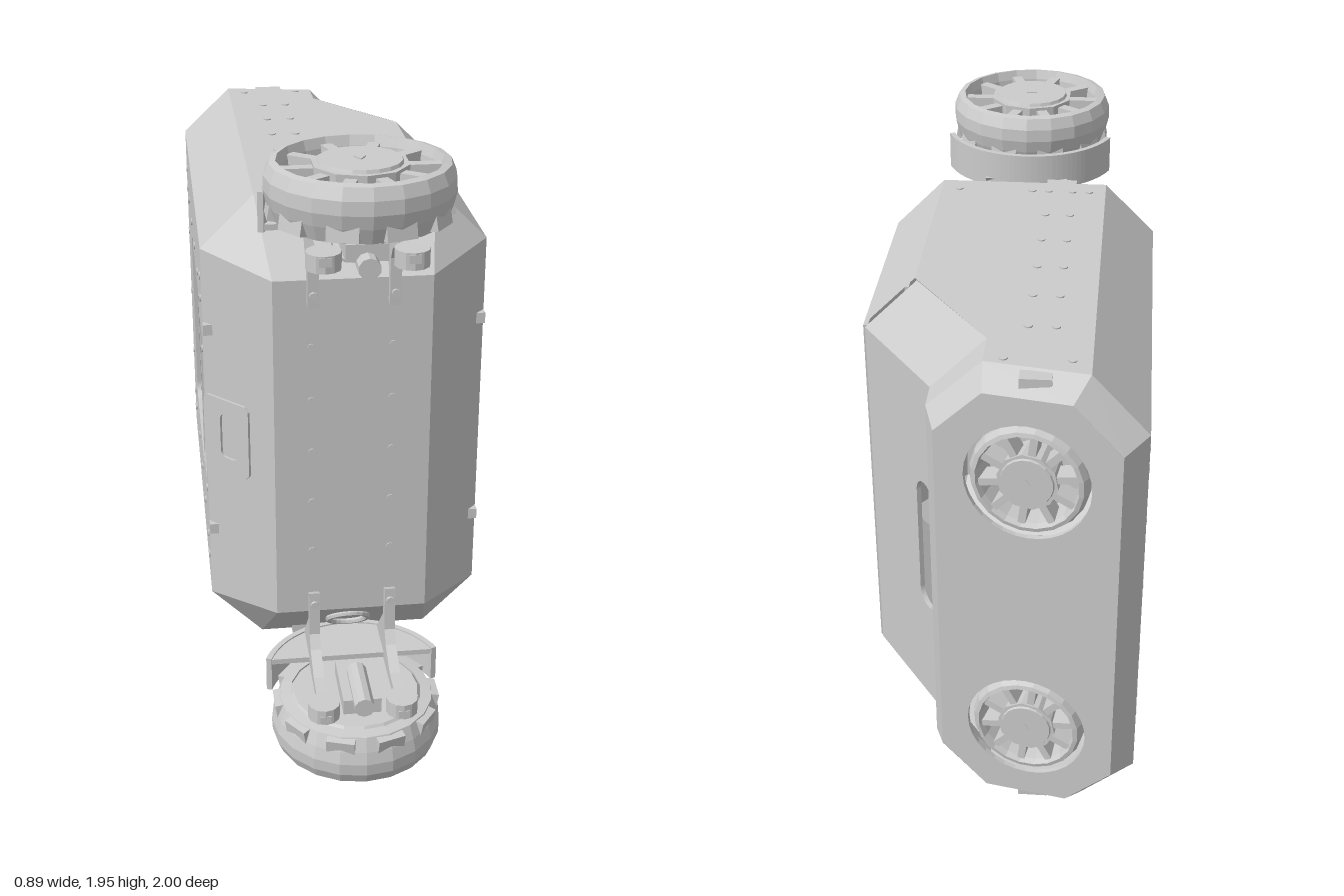
import * as THREE from 'three';

const V = (x, y, z) => new THREE.Vector3(x, y, z);
const UP = V(0, 1, 0);
const MID = 0.97; // mid height of the body
const flat = new THREE.MeshStandardMaterial({ color: 0xcccccc, flatShading: true, side: THREE.DoubleSide });
const smooth = new THREE.MeshStandardMaterial({ color: 0xcccccc });

function add(parent, name, geo, pos = [0, 0, 0], mat = flat) {
  const m = new THREE.Mesh(geo, mat);
  m.name = name;
  m.position.set(...pos);
  parent.add(m);
  return m;
}

// Octagonal cross-section of the body; depth runs from zl to zr across x
function ring(xl, xr, y0, y1, c, zl, zr = zl) {
  return [[xl + c, y0], [xr - c, y0], [xr, y0 + c], [xr, y1 - c], [xr - c, y1], [xl + c, y1], [xl, y1 - c], [xl, y0 + c]]
    .map(([x, y]) => V(x, y, zl + (zr - zl) * (x - xl) / (xr - xl)));
}

// Rounded rectangle hole
function rect(x0, x1, y0, y1, r = 0.006) {
  const p = new THREE.Path();
  p.moveTo(x0 + r, y0);
  p.lineTo(x1 - r, y0); p.absarc(x1 - r, y0 + r, r, -Math.PI / 2, 0);
  p.lineTo(x1, y1 - r); p.absarc(x1 - r, y1 - r, r, 0, Math.PI / 2);
  p.lineTo(x0 + r, y1); p.absarc(x0 + r, y1 - r, r, Math.PI / 2, Math.PI);
  p.lineTo(x0, y0 + r); p.absarc(x0 + r, y0 + r, r, Math.PI, Math.PI * 1.5);
  return p;
}
const circle = (x, y, r) => new THREE.Path().absarc(x, y, r, 0, Math.PI * 2);

// Upright plate from a to b ([x, z], left to right seen from outside), with chamfer c and holes
function panel(parent, name, a, b, y0, y1, holes, c = 0, lift = 0) {
  const u = V(b[0] - a[0], 0, b[1] - a[1]), w = u.length();
  u.normalize();
  const n = u.clone().cross(UP), t = 0.015;
  const pts = c ? [[c, y0], [w - c, y0], [w, y0 + c], [w, y1 - c], [w - c, y1], [c, y1], [0, y1 - c], [0, y0 + c]]
    : [[0, y0], [w, y0], [w, y1], [0, y1]];
  const s = new THREE.Shape(pts.map(p => new THREE.Vector2(...p)));
  s.holes.push(...holes);
  const g = new THREE.ExtrudeGeometry(s, { depth: t, bevelEnabled: false, curveSegments: 16 });
  g.translate(0, 0, lift - t);
  g.applyMatrix4(new THREE.Matrix4().makeBasis(u, UP, n).setPosition(a[0], 0, a[1]));
  return add(parent, name, g);
}

// Extrusion of a plan shape standing on y
function slab(shape, y0, h) {
  return new THREE.ExtrudeGeometry(shape, { depth: h, bevelEnabled: false, curveSegments: 20 })
    .rotateX(-Math.PI / 2).translate(0, y0, 0);
}

// Faceted wheel, axis on y, outer face up
function wheel() {
  const g = new THREE.Group();
  g.name = 'wheel';
  const tyre = [[0.21, 0.05], [0.245, 0.055], [0.262, 0.1], [0.272, 0.14], [0.27, 0.18], [0.255, 0.215],
    [0.235, 0.22], [0.225, 0.19], [0.21, 0.05]].map(p => new THREE.Vector2(...p));
  add(g, 'tyre', new THREE.LatheGeometry(tyre, 20));
  add(g, 'hub', new THREE.CylinderGeometry(0.14, 0.13, 0.16, 10), [0, 0.13, 0]);
  add(g, 'hubCap', new THREE.CylinderGeometry(0.118, 0.122, 0.01, 20), [0, 0.215, 0]);
  add(g, 'hubMark', new THREE.CylinderGeometry(0.02, 0.02, 0.004, 3), [0, 0.222, 0]);
  add(g, 'wheelBack', new THREE.CylinderGeometry(0.215, 0.2, 0.02, 20), [0, 0.055, 0]);
  for (let i = 0; i < 10; i++) {
    const a = i * Math.PI / 5;
    const s = add(g, 'spoke', new THREE.BoxGeometry(0.11, 0.1, 0.035), [Math.cos(a) * 0.18, 0.15, -Math.sin(a) * 0.18]);
    s.rotation.y = a;
    const l = add(g, 'lug', new THREE.BoxGeometry(0.03, 0.08, 0.09), [Math.cos(a) * 0.243, 0.1, -Math.sin(a) * 0.243]);
    l.rotation.set(0, a, 0.18);
  }
  return g;
}

// Caster with its fender and brackets; heights are relative to the body middle
function caster(name) {
  const g = new THREE.Group();
  g.name = name;
  const w = wheel();
  w.position.set(0, 0.75, 0.73);
  g.add(w);
  const f = new THREE.Shape();
  f.absarc(0, 0, 0.298, 0.35, Math.PI - 0.35, false);
  f.absarc(0, 0, 0.28, Math.PI - 0.35, 0.35, true);
  add(g, 'fender', slab(f, 0.73, 0.12), [0, 0, 0.73]);
  const base = new THREE.Shape().absarc(0, 0, 0.29, 0.35, Math.PI - 0.35, false);
  add(g, 'fenderFloor', slab(base, 0.735, 0.018), [0, 0, 0.73]);
  const profile = [[0.605, 0.5], [0.635, 0.49], [0.64, 0.64], [0.67, 0.68], [0.76, 0.725], [0.95, 0.735], [0.95, 0.76], [0.45, 0.76], [0.605, 0.6]];
  for (const s of [-1, 1]) {
    const b = new THREE.ExtrudeGeometry(new THREE.Shape(profile.map(p => new THREE.Vector2(-p[0], p[1]))), { depth: 0.034, bevelEnabled: false });
    add(g, 'bracket', b.rotateY(Math.PI / 2), [s * 0.122 - 0.017, 0, 0]);
    add(g, 'bracketScrew', new THREE.CylinderGeometry(0.013, 0.013, 0.012, 8).rotateX(Math.PI / 2), [s * 0.122, 0.53, 0.64]);
    add(g, 'armEnd', new THREE.CylinderGeometry(0.05, 0.05, 0.05, 12), [s * 0.122, 0.74, 0.9]);
  }
  add(g, 'axleBolt', new THREE.CylinderGeometry(0.032, 0.032, 0.2, 10).rotateX(Math.PI / 2), [0, 0.72, 0.84]);
  add(g, 'axleBlock', new THREE.BoxGeometry(0.12, 0.05, 0.22), [0, 0.75, 0.78]);
  // Cable port on the sloping front edge
  const port = add(g, 'cablePort', new THREE.TorusGeometry(0.065, 0.01, 6, 20), [0, 0.66, 0.525]);
  port.rotation.x = -Math.PI / 4;
  return g;
}

export function createModel() {
  const model = new THREE.Group();
  model.name = 'rollingCase';

  // Body shell from cross-sections, front to back
  const y0 = 0.2, y1 = 1.74, c = 0.165;
  const r1 = ring(-0.24, 0.24, 0.4, 1.54, 0, 0.61);
  const r2 = ring(-0.44, 0.44, y0, y1, c, 0.4);
  const r3 = ring(-0.44, 0.44, y0, y1, c, -0.352);
  const r3b = ring(-0.44, 0.432, y0, y1, c, -0.366);
  const r4 = ring(-0.44, 0.19, y0, y1, c, -0.71);
  const r5 = ring(-0.44, 0.19, y0, y1, c, -0.92, -0.81);
  const r6 = ring(-0.37, 0.16, 0.25, 1.69, 0.14, -1, -0.9);
  const pos = [];
  const quad = (...q) => [0, 1, 2, 0, 2, 3].forEach(i => pos.push(q[i].x, q[i].y, q[i].z));
  const band = (a, b, edges) => edges.forEach(i => quad(a[i], b[i], b[(i + 1) % 8], a[(i + 1) % 8]));
  const all = [0, 1, 2, 3, 4, 5, 6, 7];
  band(r1, r2, all);
  band(r2, r3, [0, 1, 3, 4, 5, 7]);
  band(r3, r4, [0, 4, 5, 7]);
  band(r3b, r4, [1, 3]);
  band(r4, r5, [0, 1, 2, 3, 4, 5, 7]);
  band(r5, r6, all);
  quad(r1[0], r1[2], r1[4], r1[6]);
  const shell = new THREE.BufferGeometry();
  shell.setAttribute('position', new THREE.Float32BufferAttribute(pos, 3));
  shell.computeVertexNormals();
  add(model, 'bodyShell', shell);

  // Side walls with vents, port, window and slots
  const lo = y0 + c, hi = y1 - c;
  const vents = [[0.03, -0.035, 1, 1.285], [-0.08, -0.295, 1.11, 1.18], [-0.08, -0.295, 1, 1.07],
    [0.03, -0.295, 0.89, 0.96], [0.03, -0.19, 0.77, 0.845], [0.03, -0.295, 0.66, 0.735]]
    .map(([a, b, p, q]) => rect(0.4 - a, 0.4 - b, p, q));
  panel(model, 'ventedWall', [0.44, 0.4], [0.44, -0.352], lo, hi, [circle(0.2, 0.975, 0.095), ...vents]);
  panel(model, 'slopedWall', [0.432, -0.366], [0.19, -0.71], lo, hi, [rect(0.31, 0.412, 0.74, 1.21, 0.05)]);
  panel(model, 'windowWall', [-0.44, -0.92], [-0.44, 0.4], lo, hi,
    [rect(0.37, 0.97, 0.65, 1.3, 0.05), rect(1.02, 1.21, 0.72, 1.24, 0.03)]);
  panel(model, 'backPlate', [0.16, -0.9], [-0.37, -1], 0.25, 1.69,
    [circle(0.27, 0.52, 0.185), circle(0.27, 1.42, 0.185)], 0.142);
  panel(model, 'socketPlate', [-0.44, 0.4], [-0.31, 0.537], 0.85, 1.1, [rect(0.07, 0.14, 0.9, 1.05, 0.02)], 0.015, 0.008);

  // Wheels set into the back plate
  const n = V(0.1, 0, -0.53).normalize();
  for (const y of [0.52, 1.42]) {
    const w = wheel();
    w.name = 'backWheel';
    w.scale.setScalar(0.64);
    w.quaternion.setFromUnitVectors(UP, n);
    w.position.set(-0.105, y, -0.95).addScaledVector(n, -0.14);
    model.add(w);
  }

  // Front casters, above and below
  const top = caster('upperCaster'), bottom = caster('lowerCaster');
  top.position.y = bottom.position.y = MID;
  bottom.rotation.z = Math.PI;
  model.add(top, bottom);

  // Rivets
  const rivetGeo = new THREE.CylinderGeometry(0.013, 0.013, 0.008, 8);
  const rivet = (x, y, z, nx, ny, nz) =>
    add(model, 'rivet', rivetGeo, [x, y, z], smooth).quaternion.setFromUnitVectors(UP, V(nx, ny, nz));
  for (const s of [-1, 1]) {
    const y = MID + s * 0.77;
    for (let i = 0; i < 6; i++) for (const x of [-0.165, -0.085]) rivet(x, y, 0.33 - i * 0.192, 0, s, 0);
    for (const x of [-0.22, -0.03, 0.215]) rivet(x, y, 0.33, 0, s, 0);
    for (const x of [-0.22, -0.03]) rivet(x, y, -0.82, 0, s, 0);
    for (const z of [0.01, -0.295]) rivet(0.44, MID + s * 0.35, z, 1, 0, 0);
    for (const z of [0.33, 0.1, -0.15, -0.4, -0.65, -0.8]) rivet(-0.44, MID + s * 0.42, z, -1, 0, 0);
    // Latches on the long edges and small catches at the ends
    for (const x of [-0.425, 0.425]) add(model, 'latch', new THREE.BoxGeometry(0.03, 0.035, 0.05), [x, MID + s * 0.35, 0.405]);
    add(model, 'frontCatch', new THREE.BoxGeometry(0.1, 0.03, 0.05), [-0.125, MID + s * 0.755, 0.405]);
    add(model, 'backCatch', new THREE.BoxGeometry(0.09, 0.04, 0.05), [-0.125, MID + s * 0.745, -0.895]);
  }
  for (const y of [0.475, 0.725, 0.975, 1.22, 1.465]) {
    rivet(0.44, y, 0.335, 1, 0, 0);
    rivet(-0.44, y, 0.335, -1, 0, 0);
    rivet(0.19, y, -0.765, 1, 0, 0);
    rivet(-0.44, y, -0.8, -1, 0, 0);
  }
  for (const y of [0.625, 0.8, 0.975, 1.15, 1.325]) for (const x of [-0.125, 0.122]) rivet(x, y, 0.61, 0, 0, 1);

  return model;
}
